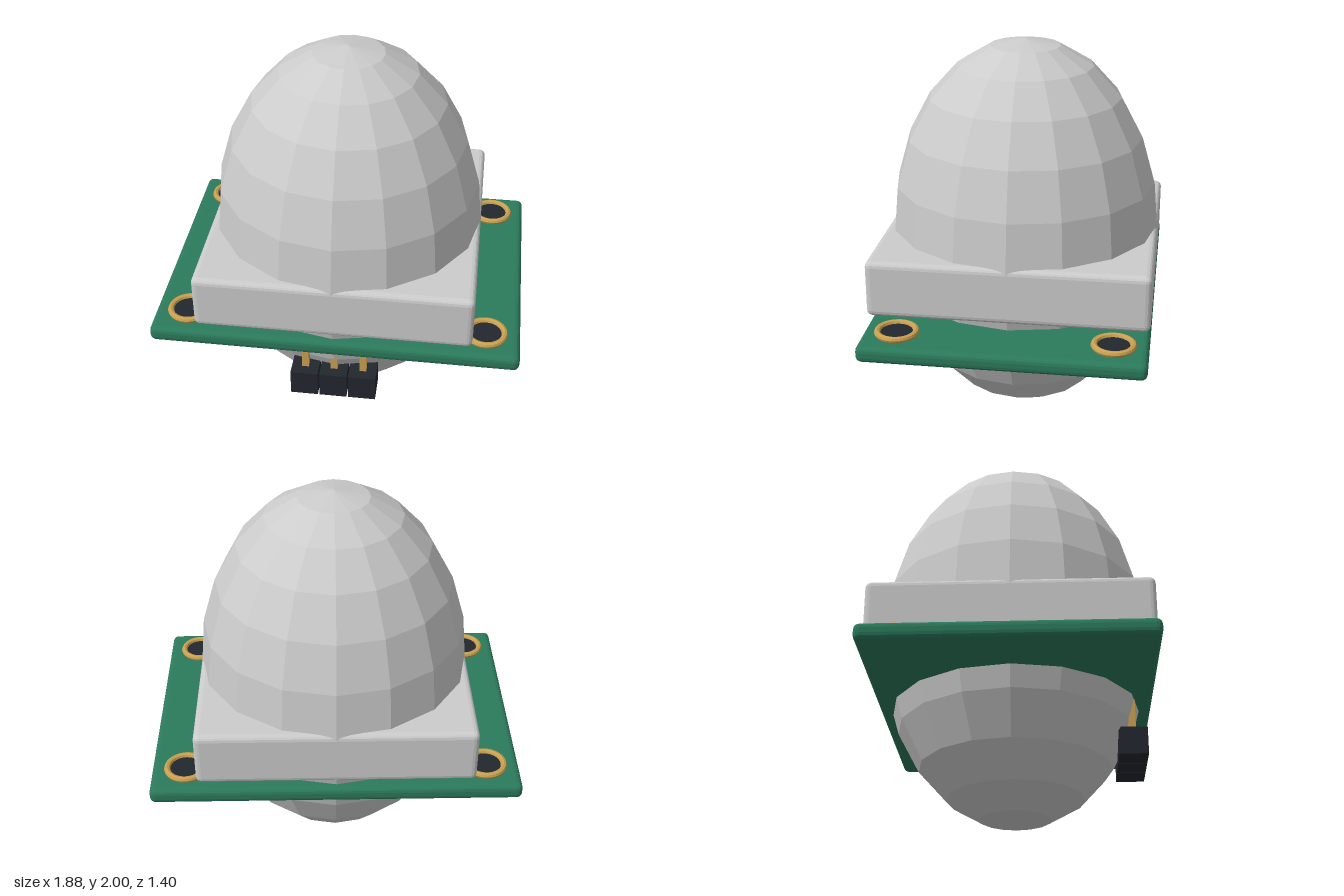
import * as THREE from 'three';
import { RoundedBoxGeometry } from 'three/addons/geometries/RoundedBoxGeometry.js';

const paint = (color) => new THREE.MeshStandardMaterial({ color, flatShading: true });

export function createModel() {
  const model = new THREE.Group();
  model.name = 'motionSensor';
  const grey = paint(0xcccccc);
  const green = paint(0x2b7a5b);
  const gold = paint(0xc9a050);
  const black = paint(0x22262e);

  const add = (name, geometry, material, x, y, z, parent = model) => {
    const mesh = new THREE.Mesh(geometry, material);
    mesh.name = name;
    mesh.position.set(x, y, z);
    parent.add(mesh);
    return mesh;
  };

  // Faceted egg-shaped lens, running through the housing and the board
  const lens = new THREE.SphereGeometry(1, 16, 12);
  lens.scale(0.7, 1, 0.7);
  add('lens', lens, grey, 0, 1, 0);

  // Square lens housing and circuit board with softened edges
  add('housing', new RoundedBoxGeometry(1.4, 0.29, 1.4, 2, 0.03), grey, 0, 0.885, 0);
  add('circuitBoard', new RoundedBoxGeometry(1.88, 0.085, 1.4, 2, 0.03), green, 0, 0.65, 0);

  // Mounting holes: gold rims around dark discs, one in each corner
  const rim = new THREE.TorusGeometry(0.095, 0.016, 8, 32);
  rim.rotateX(Math.PI / 2);
  const disc = new THREE.CylinderGeometry(0.09, 0.09, 0.02, 32);
  for (const sx of [-1, 1]) {
    for (const sz of [-1, 1]) {
      const hole = new THREE.Group();
      hole.name = 'mountingHole';
      hole.position.set(sx * 0.765, 0.705, sz * 0.53);
      add('holeRim', rim, gold, 0, 0, 0, hole);
      add('holeDisc', disc, black, 0, -0.01, 0, hole);
      model.add(hole);
    }
  }

  // Three-way header below the front edge
  const block = new THREE.BoxGeometry(0.142, 0.14, 0.145);
  const pin = new THREE.BoxGeometry(0.036, 0.22, 0.036);
  for (const x of [-0.15, 0, 0.15]) {
    add('headerBlock', block, black, x, 0.37, 0.59);
    add('headerPin', pin, gold, x, 0.51, 0.59);
  }

  return model;
}
